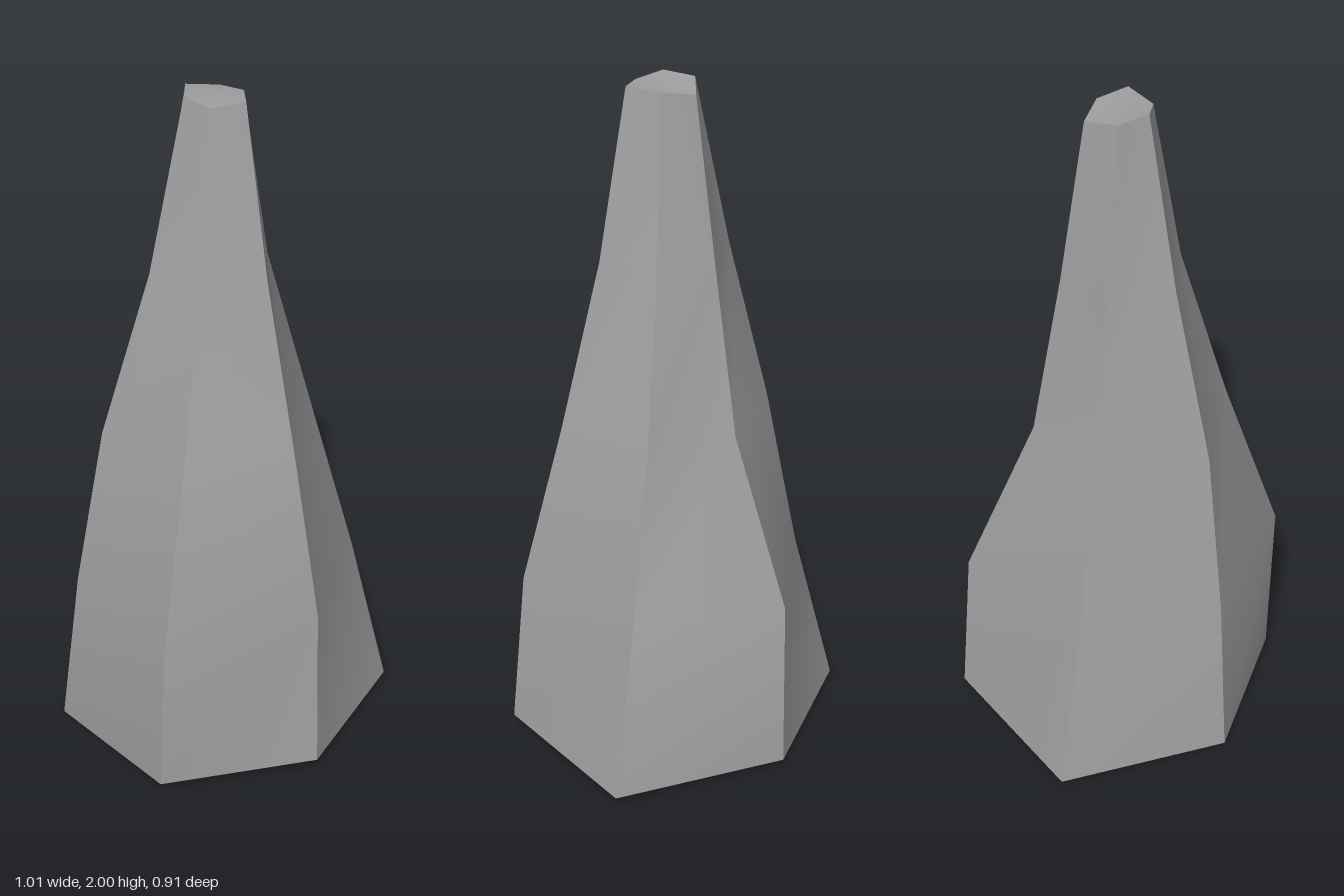
import * as THREE from 'three';

// Six corner ridges, each a path of [x, y, z] points from the base to the tip
const RIDGES = [
  [[0.505, 0.01, 0], [0.39, 0.5, -0.02], [0.255, 1, -0.025], [0.12, 1.5, -0.015], [0.05, 1.99, -0.005]],
  [[0.21, 0.03, 0.415], [0.21, 0.52, 0.37], [0.155, 1, 0.26], [0.09, 1.5, 0.16], [0.04, 1.995, 0.095]],
  [[-0.26, 0.01, 0.43], [-0.245, 0.5, 0.455], [-0.165, 1, 0.305], [-0.095, 1.5, 0.175], [-0.06, 1.985, 0.097]],
  [[-0.508, 0, 0.03], [-0.45, 0.5, 0.047], [-0.365, 1, 0.058], [-0.22, 1.49, 0.05], [-0.117, 2, 0.035]],
  [[-0.325, 0.01, -0.455], [-0.275, 0.5, -0.34], [-0.235, 1, -0.25], [-0.165, 1.5, -0.145], [-0.1, 1.995, -0.06]],
  [[0.2, 0.02, -0.425], [0.165, 0.52, -0.41], [0.065, 1, -0.23], [0.025, 1.5, -0.155], [-0.002, 1.975, -0.09]],
];

function build(points, index) {
  const geometry = new THREE.BufferGeometry();
  geometry.setAttribute('position', new THREE.Float32BufferAttribute(points.flat(), 3));
  geometry.setIndex(index);
  geometry.computeVertexNormals();
  return geometry;
}

// One side: smooth up its height, sharp where it meets its neighbours
function sideGeometry(right, left) {
  const points = [];
  const index = [];
  right.forEach((p, i) => {
    points.push(left[i], p);
    if (i === 0) return;
    const a = 2 * i - 2;
    index.push(a, a + 1, a + 3, a, a + 3, a + 2);
  });
  return build(points, index);
}

// A fan of triangles closing one end
function capGeometry(ring, facesUp) {
  const n = ring.length;
  const centre = [0, 1, 2].map((k) => ring.reduce((sum, p) => sum + p[k], 0) / n);
  const index = [];
  for (let i = 0; i < n; i++) {
    const j = (i + 1) % n;
    index.push(n, facesUp ? j : i, facesUp ? i : j);
  }
  return build([...ring, centre], index);
}

export function createModel() {
  const model = new THREE.Group();
  model.name = 'rockSpire';
  const stone = new THREE.MeshStandardMaterial({ color: 0xa0a0a0 });
  stone.name = 'stone grey';

  const add = (name, geometry) => {
    const mesh = new THREE.Mesh(geometry, stone);
    mesh.name = name;
    model.add(mesh);
  };

  // Six rock faces around the spire
  RIDGES.forEach((ridge, i) => add(`rockFace${i + 1}`, sideGeometry(ridge, RIDGES[(i + 1) % RIDGES.length])));

  // Flat tip and underside
  add('tip', capGeometry(RIDGES.map((r) => r[r.length - 1]), true));
  add('underside', capGeometry(RIDGES.map((r) => r[0]), false));
  return model;
}
